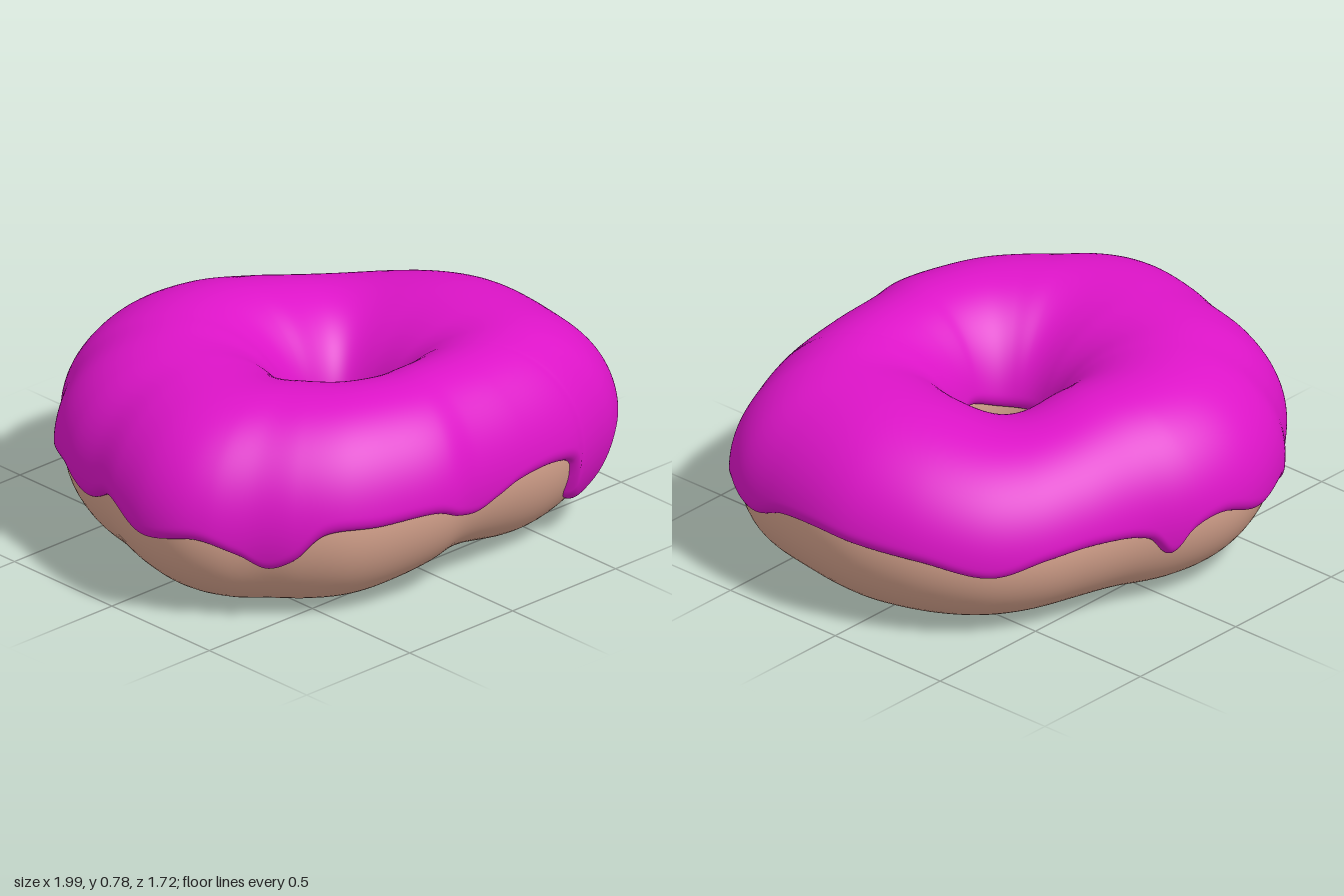
import * as THREE from 'three';
import { ParametricGeometry } from 'three/addons/geometries/ParametricGeometry.js';
import { mergeVertices } from 'three/addons/utils/BufferGeometryUtils.js';

const CX = 0.02, CZ = 0.08;   // centre of the hole
const HOLE = 0.15;            // hole radius through the icing
const COAT = 0.035;           // icing thickness

// Uneven outer outline seen from above: [x, z]
const OUTLINE = [
  [1, 0.08], [0.97, 0.35], [0.92, 0.55], [0.82, 0.67], [0.68, 0.74], [0.5, 0.8], [0.25, 0.83],
  [0, 0.84], [-0.15, 0.86], [-0.35, 0.82], [-0.55, 0.74], [-0.7, 0.62], [-0.8, 0.51],
  [-0.92, 0.39], [-0.98, 0.28], [-1, 0.15], [-0.97, -0.03], [-0.92, -0.18], [-0.87, -0.37],
  [-0.78, -0.53], [-0.62, -0.67], [-0.52, -0.76], [-0.35, -0.84], [-0.2, -0.865], [0, -0.84],
  [0.2, -0.76], [0.4, -0.69], [0.6, -0.6], [0.77, -0.47], [0.9, -0.29], [0.98, -0.08],
].map(([x, z]) => [x, 0, z]);

// Dripping lower edge of the icing: [x, y, z]
const EDGE = [
  [0.98, 0.385, 0.12], [0.96, 0.365, 0.3], [0.93, 0.31, 0.45], [0.85, 0.345, 0.6],
  [0.78, 0.3, 0.66], [0.7, 0.18, 0.69], [0.61, 0.155, 0.73], [0.54, 0.2, 0.76], [0.505, 0.34, 0.78],
  [0.4, 0.38, 0.79], [0.2, 0.38, 0.8], [0.1, 0.35, 0.81], [0, 0.325, 0.82], [-0.1, 0.35, 0.82],
  [-0.2, 0.39, 0.82], [-0.42, 0.39, 0.77], [-0.6, 0.38, 0.67], [-0.69, 0.28, 0.6],
  [-0.76, 0.245, 0.53], [-0.83, 0.3, 0.46], [-0.92, 0.355, 0.35], [-0.97, 0.32, 0.12],
  [-0.94, 0.38, -0.08], [-0.88, 0.31, -0.25], [-0.84, 0.36, -0.42], [-0.7, 0.31, -0.6],
  [-0.6, 0.23, -0.68], [-0.5, 0.31, -0.76], [-0.3, 0.3, -0.82], [-0.1, 0.36, -0.82],
  [0.02, 0.33, -0.8], [0.09, 0.25, -0.78], [0.17, 0.33, -0.75], [0.35, 0.36, -0.69],
  [0.55, 0.34, -0.6], [0.7, 0.295, -0.48], [0.85, 0.35, -0.28], [0.96, 0.375, -0.05],
];

// Turns a closed loop around the hole into a lookup: angle -> { r, y }
function loopAround(points) {
  const curve = new THREE.CatmullRomCurve3(points.map(p => new THREE.Vector3(...p)), true);
  const table = curve.getPoints(1500).slice(0, -1).map(p => ({
    a: Math.atan2(p.z - CZ, p.x - CX), r: Math.hypot(p.x - CX, p.z - CZ), y: p.y,
  })).sort((p, q) => p.a - q.a);
  const first = table[0], last = table[table.length - 1];
  table.unshift({ ...last, a: last.a - 2 * Math.PI });
  table.push({ ...first, a: first.a + 2 * Math.PI });
  return angle => {
    const a = Math.atan2(Math.sin(angle), Math.cos(angle));
    let lo = 0, hi = table.length - 1;
    while (hi - lo > 1) {
      const m = (lo + hi) >> 1;
      if (table[m].a <= a) lo = m; else hi = m;
    }
    const p = table[lo], q = table[hi], t = (a - p.a) / (q.a - p.a || 1);
    return { r: p.r + (q.r - p.r) * t, y: p.y + (q.y - p.y) * t };
  };
}

const outline = loopAround(OUTLINE), edge = loopAround(EDGE);

// Smooth bump of the given width (degrees) around an angle
function bump(a, centre, width) {
  const d = a - THREE.MathUtils.degToRad(centre);
  const deg = THREE.MathUtils.radToDeg(Math.atan2(Math.sin(d), Math.cos(d)));
  return Math.exp(-((deg / width) ** 2));
}

// Elliptical dough section at one angle around the ring
function section(a) {
  const outer = outline(a).r - COAT, inner = HOLE + COAT;
  const top = 0.778 - 0.01 * Math.cos(a) - 0.065 * bump(a, -45, 30) - COAT;
  const bottom = 0.005 + 0.088 * bump(a, 90, 30) + 0.025 * bump(a, -72, 25);
  return { mid: (outer + inner) / 2, w: (outer - inner) / 2, yc: (top + bottom) / 2, h: (top - bottom) / 2 };
}

function place(a, phi, lift, target) {
  const s = section(a), r = s.mid + (s.w + lift) * Math.cos(phi);
  target.set(CX + r * Math.cos(a), s.yc + (s.h + lift) * Math.sin(phi), CZ + r * Math.sin(a));
}

function surface(name, color, f, slices, stacks, side) {
  let geo = new ParametricGeometry(f, slices, stacks);
  geo.deleteAttribute('uv');
  geo.deleteAttribute('normal');
  geo = mergeVertices(geo, 1e-5);
  geo.computeVertexNormals();
  const mesh = new THREE.Mesh(geo, new THREE.MeshStandardMaterial({ color, side }));
  mesh.name = name;
  return mesh;
}

export function createModel() {
  const group = new THREE.Group();
  group.name = 'doughnut';

  // Dough ring
  group.add(surface('dough', 0xd9a58f, (u, v, target) => {
    place(-2 * Math.PI * u, 2 * Math.PI * v, 0, target);
  }, 200, 72, THREE.FrontSide));

  // Icing shell, rounded down onto the dough along both edges
  group.add(surface('icing', 0xdd14c8, (u, v, target) => {
    const a = -2 * Math.PI * u, s = section(a);
    const start = Math.asin(THREE.MathUtils.clamp((edge(a).y - s.yc) / s.h, -0.95, 0.95));
    const end = Math.PI * 0.98;
    const phi = start + (end - start) * (1 - Math.cos(Math.PI * v)) / 2;
    const t = Math.min(1, Math.min(phi - start, end - phi) / 0.13);
    place(a, phi, COAT * Math.sqrt(Math.max(0, 1 - (1 - t) ** 2)) - 0.002 * (1 - t), target);
  }, 400, 80, THREE.DoubleSide));

  return group;
}
